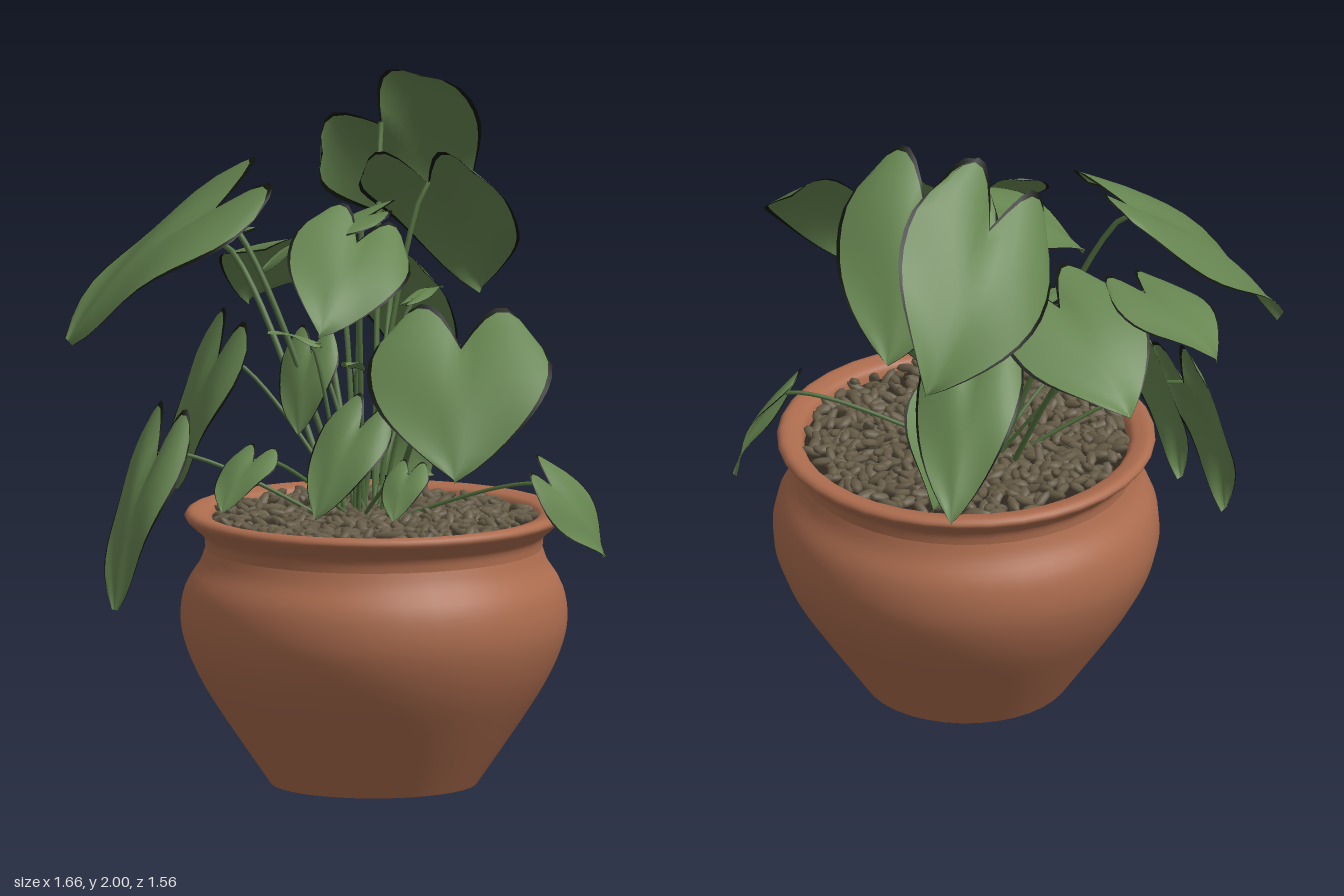
import * as THREE from 'three';
import { mergeGeometries } from 'three/addons/utils/BufferGeometryUtils.js';

const mat = (name, color, side = THREE.FrontSide) => {
  const m = new THREE.MeshStandardMaterial({ color, side });
  m.name = name;
  return m;
};

// Small seeded random source
let seed = 7;
const rand = () => {
  seed = (seed * 16807) % 2147483647;
  return seed / 2147483647;
};

const ROWS = 12;
const COLS = 14;
// Half-width of a leaf from its stem end (0) to its tip (1)
const leafWidth = (t) => (t < 0.25 ? 1 - 4.5 * (0.25 - t) ** 2 : Math.cos(((t - 0.25) / 0.75) * Math.PI / 2) ** 0.9);

// Heart-shaped blade from notch to tip, level across unless rolled about its midrib.
// Group 0 is the green blade, group 1 its narrow dark margin.
function leafGeometry(notch, tip, halfWidth, roll = 0) {
  const axis = tip.clone().sub(notch);
  const size = axis.length();
  const side = new THREE.Vector3(-axis.z, 0, axis.x).normalize()
    .applyAxisAngle(axis.clone().normalize(), roll).multiplyScalar(halfWidth);
  const normal = side.clone().cross(axis).normalize();
  const pos = [];
  const blade = [];
  const margin = [];
  for (let i = 0; i <= ROWS; i++) {
    const t = i === 0 ? 0 : 0.02 + (0.98 * (i - 1)) / (ROWS - 1);
    const w = Math.max(0, leafWidth(t));
    for (let j = 0; j <= COLS; j++) {
      const v = THREE.MathUtils.clamp(0.955 * ((2 * (j - 1)) / (COLS - 2) - 1), -0.955, 0.955)
        + (j === 0 ? -0.045 : 0) + (j === COLS ? 0.045 : 0);
      const a = Math.abs(v);
      // Lobes reach back past the notch; the blade arches and its edges droop
      const along = t - 0.32 * (1 - t) ** 2.5 * Math.sin(Math.PI * a * 0.86);
      const lift = 0.36 * t * (1 - t) - 0.05 * a * a * w + 0.035 * Math.sin(t * 7 + v * 2) * a;
      const p = notch.clone().addScaledVector(axis, along).addScaledVector(side, v * w)
        .addScaledVector(normal, lift * size);
      pos.push(p.x, p.y, p.z);
      if (i < ROWS && j < COLS) {
        const k = i * (COLS + 1) + j;
        const edge = i === 0 || j === 0 || j === COLS - 1;
        (edge ? margin : blade).push(k, k + 1, k + COLS + 1, k + 1, k + COLS + 2, k + COLS + 1);
      }
    }
  }
  const g = new THREE.BufferGeometry();
  g.setAttribute('position', new THREE.Float32BufferAttribute(pos, 3));
  g.setIndex([...blade, ...margin]);
  g.addGroup(0, blade.length, 0);
  g.addGroup(blade.length, margin.length, 1);
  g.computeVertexNormals();
  return g;
}

// Stem rising from the soil clump and arching over to the leaf notch
function stemGeometry(end, turn, radius) {
  const root = new THREE.Vector3(
    0.04 + end.x * 0.14 + 0.03 * Math.cos(turn), 0.76, 0.15 + end.z * 0.14 + 0.03 * Math.sin(turn));
  const rise = end.y - root.y;
  const low = root.clone().lerp(end, 0.35).setY(root.y + rise * 0.5);
  const high = root.clone().lerp(end, 0.8).setY(root.y + rise * 0.98 + 0.03);
  return new THREE.TubeGeometry(new THREE.CubicBezierCurve3(root, low, high, end), 14, radius, 6);
}

// name, notch, tip, half-width, roll
const LEAVES = [
  ['tallBackLeaf', [-0.2, 1.82, -0.35], [-0.17, 1.47, -0.77], 0.25, -0.82],
  ['upperBackLeaf', [0.11, 1.71, -0.09], [0.09, 1.35, -0.43], 0.24],
  ['bigRightLeaf', [-0.42, 1.63, 0.22], [-0.78, 1.25, 0.45], 0.28, -0.15],
  ['rightBackLeaf', [-0.32, 1.47, -0.12], [-0.63, 1.27, -0.33], 0.21, 0.15],
  ['farRightLeaf', [-0.54, 1.5, 0], [-0.82, 1.4, -0.13], 0.15, -0.15],
  ['bigLeftLeaf', [0.56, 1.35, 0.49], [0.67, 1, 0.72], 0.27],
  ['upperCentreLeaf', [0, 1.62, 0.1], [-0.26, 1.47, 0.22], 0.16],
  ['upperFrontLeaf', [0.06, 1.58, 0.23], [0.1, 1.35, 0.52], 0.18, -0.4],
  ['lowerBackLeaf', [-0.14, 1.36, -0.32], [-0.2, 1, -0.65], 0.155],
  ['droopingRightLeaf', [-0.46, 0.95, 0.48], [-0.55, 0.5, 0.58], 0.11, -0.4],
  ['sideRightLeaf', [-0.42, 1.2, 0.2], [-0.57, 0.8, 0.2], 0.11, -1.1],
  ['smallLeftLeaf', [0.62, 0.89, 0.08], [0.72, 0.67, -0.06], 0.11, 0.85],
  ['lowFrontLeaf', [0.17, 1.07, 0.4], [0.11, 0.82, 0.56], 0.11, -0.45],
  ['innerLeaf', [-0.14, 1.23, 0.15], [-0.14, 1, 0.23], 0.095],
  ['smallFrontLeaf', [0.32, 0.94, 0.38], [0.33, 0.82, 0.49], 0.07],
  ['lowRightLeaf', [-0.13, 0.96, 0.5], [-0.15, 0.83, 0.65], 0.09],
  ['lowBackLeaf', [0.04, 1.03, -0.08], [0, 0.82, -0.3], 0.18, -1],
];

export function createModel() {
  const model = new THREE.Group();
  const terracotta = mat('terracotta', 0xac6c4e, THREE.DoubleSide);
  const leafGreen = mat('leaf green', 0x668550, THREE.DoubleSide);
  const leafMargin = mat('leaf margin', 0x11150d, THREE.DoubleSide);
  const stemGreen = mat('stem green', 0x4f6c3c);
  const pebbleBrown = mat('pebble brown', 0x665b47);
  const soilBrown = mat('soil brown', 0x2e2820);
  const add = (parent, name, geometry, material) => {
    const m = new THREE.Mesh(geometry, material);
    m.name = name;
    parent.add(m);
    return m;
  };

  // Pot stands off-centre, below the plant's leaning crown
  const pot = new THREE.Group();
  pot.name = 'pot';
  pot.position.set(0.11, 0, 0.22);
  model.add(pot);
  const lathe = (points) => new THREE.LatheGeometry(points, 36);
  const profile = (points) => points.map(([r, y]) => new THREE.Vector2(r, y));
  const smooth = (points) => new THREE.SplineCurve(profile(points)).getPoints(24);

  // Foot with a shallow recess
  add(pot, 'potFoot', lathe(profile([[0, 0.02], [0.28, 0.02], [0.285, 0], [0.3, 0]])), terracotta);

  // Round belly up to the neck
  add(pot, 'potBelly', lathe(smooth([
    [0.3, 0], [0.44, 0.205], [0.51, 0.32], [0.55, 0.42], [0.56, 0.5], [0.545, 0.58], [0.505, 0.645], [0.488, 0.69],
  ])), terracotta);

  // Flared rim, turned over into the pot
  add(pot, 'potRim', lathe(smooth([
    [0.488, 0.69], [0.493, 0.725], [0.525, 0.755], [0.548, 0.78], [0.535, 0.798], [0.505, 0.796], [0.475, 0.78],
    [0.465, 0.72],
  ])), terracotta);

  const soil = add(pot, 'soil', new THREE.CircleGeometry(0.47, 36), soilBrown);
  soil.rotation.x = -Math.PI / 2;
  soil.position.y = 0.755;

  // Pebbles spread evenly over the soil, each turned its own way
  const pebbles = [];
  const count = 620;
  const place = new THREE.Object3D();
  for (let i = 0; i < count; i++) {
    const r = 0.455 * Math.sqrt((i + 0.5) / count);
    const a = i * 2.39996 + (rand() - 0.5) * 0.1;
    place.position.set(r * Math.cos(a), 0.766 + rand() * 0.02, r * Math.sin(a));
    place.rotation.set((rand() - 0.5) * 1.1, rand() * Math.PI * 2, (rand() - 0.5) * 1.1);
    place.scale.set(0.027 + rand() * 0.013, 0.013, 0.014 + rand() * 0.005);
    place.updateMatrix();
    pebbles.push(new THREE.SphereGeometry(1, 7, 4).applyMatrix4(place.matrix));
  }
  add(pot, 'pebbles', mergeGeometries(pebbles), pebbleBrown);

  // Leaves, each with its own stem from the common clump
  const plant = new THREE.Group();
  plant.name = 'plant';
  model.add(plant);
  const addLeaf = (name, notch, tip, halfWidth, roll, turn) => {
    const leaf = new THREE.Group();
    leaf.name = name;
    plant.add(leaf);
    add(leaf, 'blade', leafGeometry(notch, tip, halfWidth, roll), [leafGreen, leafMargin]);
    add(leaf, 'stem', stemGeometry(notch, turn, notch.y > 1.3 ? 0.009 : 0.006), stemGreen);
  };
  LEAVES.forEach(([name, notch, tip, halfWidth, roll], i) => {
    addLeaf(name, new THREE.Vector3(...notch), new THREE.Vector3(...tip), halfWidth, roll, i * 2.4);
  });

  // Slender young shoots fanned out among the stems
  for (let i = 0; i < 5; i++) {
    const a = i * 1.26;
    const out = new THREE.Vector3(Math.cos(a), 0, Math.sin(a));
    const notch = new THREE.Vector3(0.03, 1.17 + 0.05 * i, 0.12).addScaledVector(out, 0.17);
    const tip = notch.clone().addScaledVector(out, 0.12).setY(notch.y + 0.03);
    addLeaf('youngLeaf', notch, tip, 0.035, 0, a);
  }

  return model;
}
